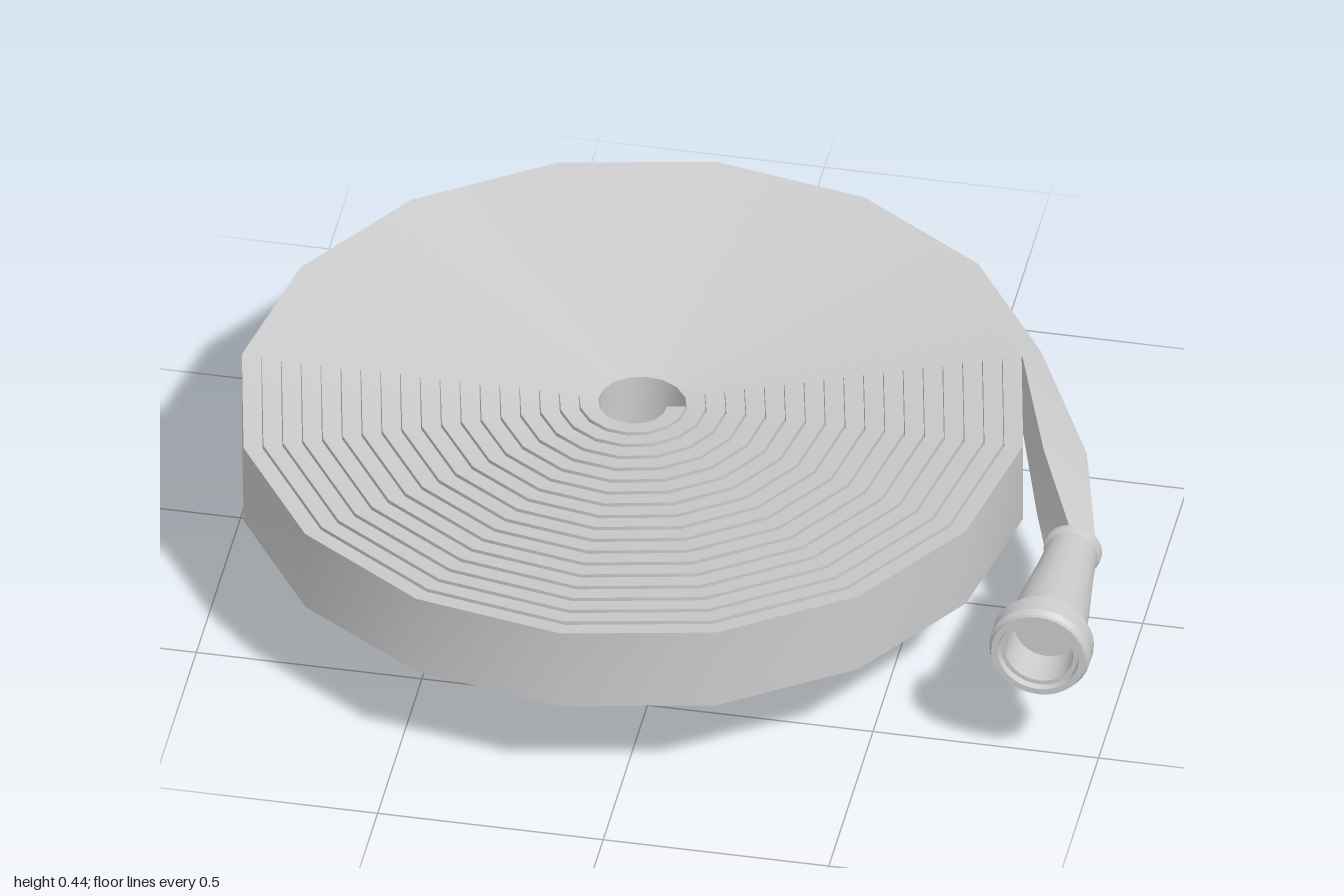
import * as THREE from 'three';
import { toCreasedNormals } from 'three/addons/utils/BufferGeometryUtils.js';

const material = new THREE.MeshStandardMaterial({ color: 0xcccccc });

function addMesh(parent, name, geometry) {
  const mesh = new THREE.Mesh(toCreasedNormals(geometry, 0.6), material);
  mesh.name = name;
  parent.add(mesh);
  return mesh;
}

// Skin a row of four-cornered sections: outer bottom, outer top, inner top, inner bottom
function loft(sections) {
  const index = [];
  const last = (sections.length - 1) * 4;
  for (let i = 0; i < last; i += 4) {
    for (let j = 0; j < 4; j++) {
      const k = (j + 1) % 4;
      index.push(i + j, i + k, i + 4 + j, i + k, i + 4 + k, i + 4 + j);
    }
  }
  index.push(0, 3, 2, 0, 2, 1);
  index.push(last, last + 2, last + 3, last, last + 1, last + 2);
  const geometry = new THREE.BufferGeometry();
  geometry.setAttribute('position', new THREE.Float32BufferAttribute(sections.flat(2), 3));
  geometry.setIndex(index);
  return geometry;
}

function lathe(points, sides) {
  return new THREE.LatheGeometry(points.map(([r, y]) => new THREE.Vector2(r, y)), sides);
}

export function createModel() {
  const group = new THREE.Group();

  // Flat hose wound in a spiral, sixteen straight pieces per turn
  const sides = 16, turns = 18, pitch = 0.044, thickness = 0.042;
  const sections = [];
  for (let i = 0; i < sides * turns; i++) {
    const a = (i / sides) * Math.PI * 2;
    const outer = 0.107 + (pitch * i) / sides;
    const at = (r, y) => [-0.12 + r * Math.cos(a), y, r * Math.sin(a)];
    const inner = outer - thickness;
    // each turn leans slightly, its outer edge a little higher
    sections.push([at(outer, 0.248), at(outer, 0.445), at(inner, 0.438), at(inner, 0.24)]);
  }

  // Free end of the hose, twisting and narrowing into the nozzle
  sections.push([[0.865, 0.24, -0.03], [0.87, 0.422, -0.03], [0.775, 0.415, -0.03], [0.76, 0.24, -0.03]]);
  sections.push([[0.93, 0.29, 0.21], [0.937, 0.365, 0.21], [0.885, 0.378, 0.21], [0.832, 0.29, 0.21]]);
  addMesh(group, 'coiledHose', loft(sections));

  // Tapered nozzle with a stepped collar and a hollow mouth
  const nozzle = addMesh(group, 'nozzle', lathe([
    [0, 0], [0.064, 0], [0.064, 0.01], [0.056, 0.016], [0.064, 0.1], [0.078, 0.21], [0.088, 0.31],
    [0.101, 0.315], [0.101, 0.328], [0.112, 0.335], [0.112, 0.378], [0.104, 0.388], [0.104, 0.398],
    [0.09, 0.398], [0.086, 0.385], [0.076, 0.385], [0.072, 0.3], [0, 0.3],
  ], 32));
  nozzle.rotation.x = Math.PI / 2;
  nozzle.position.set(0.885, 0.333, 0.2);

  // Ribbed connector slanting out from beneath the middle of the coil
  const connector = addMesh(group, 'connector', lathe([
    [0, 0.06], [0.044, 0.06], [0.046, 0], [0.053, 0], [0.051, 0.08],
    [0.078, 0.082], [0.078, 0.094], [0.062, 0.098], [0.062, 0.13],
    [0.071, 0.134], [0.071, 0.146], [0.06, 0.152], [0.06, 0.185],
    [0.071, 0.192], [0.071, 0.204], [0.06, 0.21], [0.066, 0.23], [0.066, 0.262], [0.055, 0.27], [0, 0.27],
  ], 24));
  connector.rotation.z = Math.asin(0.6);
  connector.position.set(0.138, 0.033, -0.015);

  return group;
}
